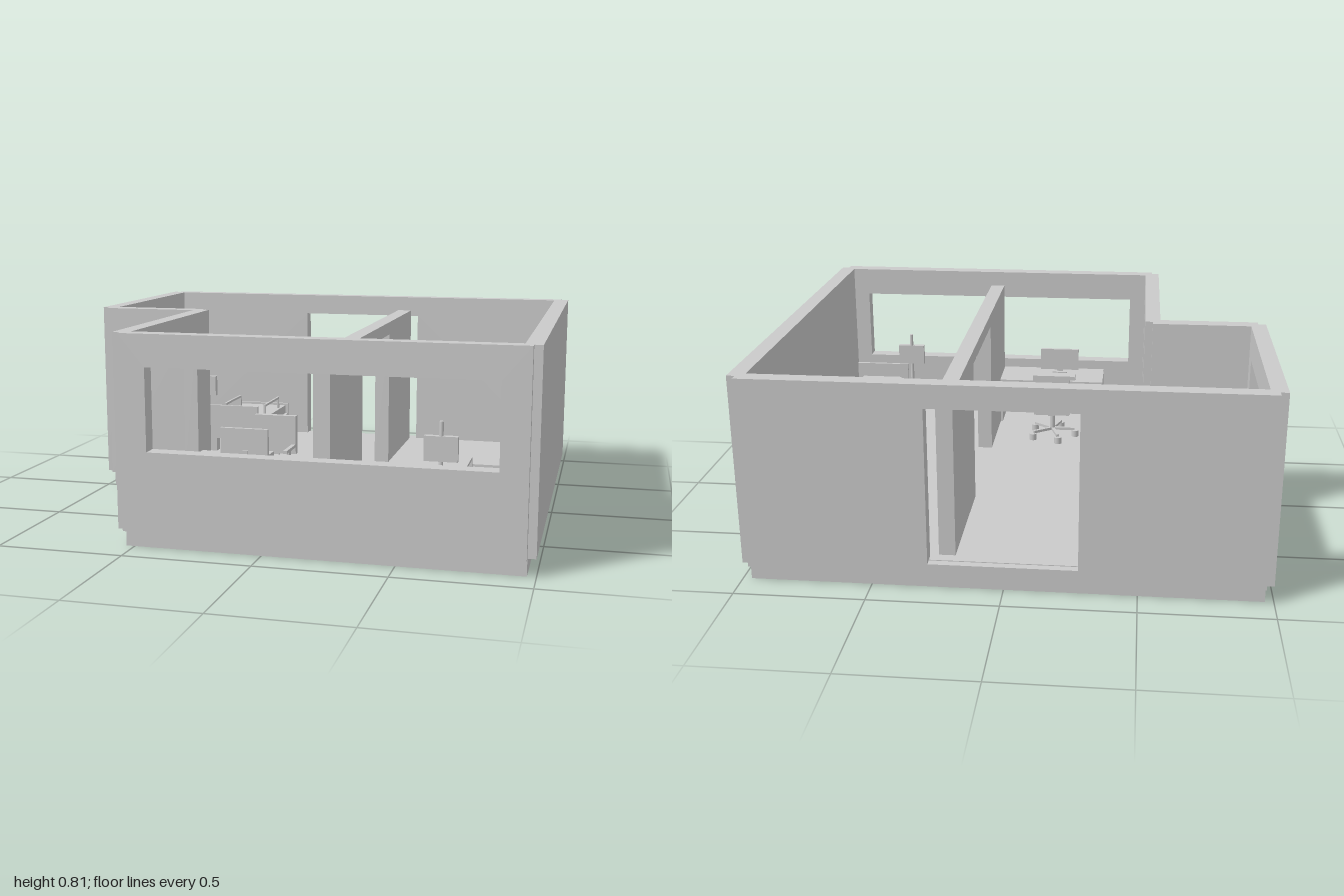
import * as THREE from 'three';

const grey = new THREE.MeshStandardMaterial({ color: 0xcacaca });
grey.name = 'plaster grey';

const FLOOR = 0.112, WALL_BASE = 0.065, WALL_TOP = 0.813, THICK = 0.063;
const X = 0.967, Z = 0.875, RECESS = -0.533;

function add(parent, name, geometry, x = 0, y = 0, z = 0) {
  const mesh = new THREE.Mesh(geometry, grey);
  mesh.name = name;
  mesh.position.set(x, y, z);
  parent.add(mesh);
  return mesh;
}

// box given by its limits on each axis
function box(parent, name, x0, x1, y0, y1, z0, z1) {
  return add(parent, name, new THREE.BoxGeometry(x1 - x0, y1 - y0, z1 - z0),
    (x0 + x1) / 2, (y0 + y1) / 2, (z0 + z1) / 2);
}

function cylinder(parent, name, r, y0, y1, x, z) {
  return add(parent, name, new THREE.CylinderGeometry(r, r, y1 - y0, 20), x, (y0 + y1) / 2, z);
}

// wall along a centre line, with an optional opening [start, end, bottom, top]
function wall(parent, name, [ax, az], [bx, bz], opening, top = WALL_TOP) {
  const length = Math.hypot(bx - ax, bz - az);
  const rect = (Kind, s0, s1, y0, y1) => {
    const path = new Kind();
    path.moveTo(s0, y0);
    path.lineTo(s1, y0);
    path.lineTo(s1, y1);
    path.lineTo(s0, y1);
    path.closePath();
    return path;
  };
  const shape = rect(THREE.Shape, 0, length, WALL_BASE, top);
  if (opening) shape.holes.push(rect(THREE.Path, ...opening));
  const geometry = new THREE.ExtrudeGeometry(shape, { depth: THICK, bevelEnabled: false });
  geometry.translate(0, 0, -THICK / 2);
  add(parent, name, geometry, ax, 0, az).rotation.y = Math.atan2(-(bz - az), bx - ax);
}

// bed with its head towards +z; origin at the centre on the floor
function makeBed() {
  const bed = new THREE.Group();
  bed.name = 'bed';
  box(bed, 'bedFrame', -0.128, 0.128, 0.065, 0.1, -0.264, 0.264);
  box(bed, 'mattress', -0.115, 0.115, 0.1, 0.14, -0.25, 0.25);
  box(bed, 'pillow', -0.099, 0.098, 0.14, 0.16, 0.123, 0.232);
  box(bed, 'headboard', -0.128, 0.128, 0.1, 0.222, 0.25, 0.264);
  box(bed, 'footboard', -0.128, 0.128, 0.1, 0.15, -0.264, -0.25);
  for (const x of [-0.099, 0.099]) {
    for (const z of [-0.23, 0.23]) box(bed, 'bedLeg', x - 0.02, x + 0.02, 0, 0.065, z - 0.02, z + 0.02);
    // side rail: top bar on two posts
    box(bed, 'sideRail', x - 0.005, x + 0.005, 0.186, 0.196, -0.178, 0.058);
    for (const z of [-0.173, 0.053]) box(bed, 'railPost', x - 0.005, x + 0.005, 0.1, 0.186, z - 0.005, z + 0.005);
  }
  // bedside monitor on a pole
  const stand = new THREE.Group();
  stand.name = 'bedsideMonitor';
  stand.position.set(-0.165, 0, 0.177);
  box(stand, 'monitorBase', -0.03, 0.03, 0, 0.012, -0.012, 0.012);
  box(stand, 'controlBox', -0.02, 0.02, 0.05, 0.12, -0.012, 0.012);
  cylinder(stand, 'pole', 0.008, 0, 0.4, 0, 0);
  box(stand, 'monitorScreen', -0.062, 0.062, 0.253, 0.346, -0.012, 0.012);
  bed.add(stand);
  return bed;
}

function makeDesk() {
  const desk = new THREE.Group();
  desk.name = 'desk';
  box(desk, 'deskTop', -0.31, 0.19, 0.312, 0.33, 0.63, 0.845);
  for (const x of [-0.31, 0.175]) box(desk, 'deskSide', x, x + 0.015, FLOOR, 0.312, 0.64, 0.84);
  box(desk, 'keyboard', -0.178, -0.015, 0.33, 0.346, 0.652, 0.715);
  box(desk, 'screen', -0.187, -0.003, 0.35, 0.453, 0.757, 0.773);
  box(desk, 'screenNeck', -0.11, -0.08, 0.33, 0.37, 0.772, 0.778);
  box(desk, 'screenFoot', -0.13, -0.06, 0.33, 0.338, 0.755, 0.778);
  return desk;
}

// swivel chair facing the desk, on a five-arm base
function makeChair() {
  const chair = new THREE.Group();
  chair.name = 'chair';
  chair.position.set(-0.082, FLOOR, 0.472);
  box(chair, 'seat', -0.083, 0.083, 0.125, 0.15, -0.07, 0.078);
  box(chair, 'backrest', -0.085, 0.085, 0.17, 0.325, -0.092, -0.067);
  box(chair, 'backSupport', -0.015, 0.015, 0.125, 0.2, -0.08, -0.067);
  for (const x of [-0.079, 0.079]) {
    box(chair, 'armrest', x - 0.008, x + 0.008, 0.2, 0.212, -0.055, 0.07);
    box(chair, 'armPost', x - 0.005, x + 0.005, 0.14, 0.2, 0, 0.03);
  }
  cylinder(chair, 'column', 0.012, 0.03, 0.125, 0, 0);
  for (let i = 0; i < 5; i++) {
    const spoke = new THREE.Group();
    spoke.name = 'baseArm';
    spoke.rotation.y = Math.PI + i * Math.PI * 2 / 5;
    box(spoke, 'spoke', 0, 0.105, 0.03, 0.042, -0.007, 0.007);
    cylinder(spoke, 'caster', 0.017, 0, 0.03, 0.108, 0);
    chair.add(spoke);
  }
  return chair;
}

export function createModel() {
  const model = new THREE.Group();
  model.name = 'room';

  // L-shaped floor slab
  const plan = new THREE.Shape([
    [-X, Z], [X, Z], [X, -Z], [RECESS, -Z], [RECESS, 0], [-X, 0],
  ].map(([x, y]) => new THREE.Vector2(x, y)));
  const slab = new THREE.ExtrudeGeometry(plan, { depth: FLOOR, bevelEnabled: false });
  slab.rotateX(-Math.PI / 2);
  add(model, 'floor', slab);

  // walls, each centred on the edge of the floor
  const door = [0.109, 0.722], window = [0.373, 0.69];
  wall(model, 'backWall', [-X, -Z], [X, -Z], [0.687, 1.247, ...door]);
  wall(model, 'leftWall', [X, -Z], [X, Z]);
  wall(model, 'frontWall', [RECESS, Z], [X, Z], [0.103, 1.398, ...window]);
  wall(model, 'rightWall', [-X, -Z], [-X, 0], [0.11, 0.76, ...window]);
  wall(model, 'recessFrontWall', [-X, 0], [RECESS, 0]);
  wall(model, 'recessSideWall', [RECESS, 0], [RECESS, Z], [0.16, 0.72, ...door]);
  wall(model, 'partition', [0.217, -0.83], [0.217, 0.825], [0.55, 1.11, 0.109, 0.695], 0.75);

  // furniture
  for (const [x, z] of [[0.805, 0.569], [-0.506, -0.567]]) {
    const bed = makeBed();
    bed.position.set(x, FLOOR, z);
    model.add(bed);
  }
  model.add(makeDesk(), makeChair());
  for (const [z0, z1] of [[-0.845, -0.787], [-0.782, -0.667], [-0.658, -0.545]]) {
    box(model, 'cabinet', 0.828, 0.937, FLOOR, 0.486, z0, z1);
  }
  return model;
}
